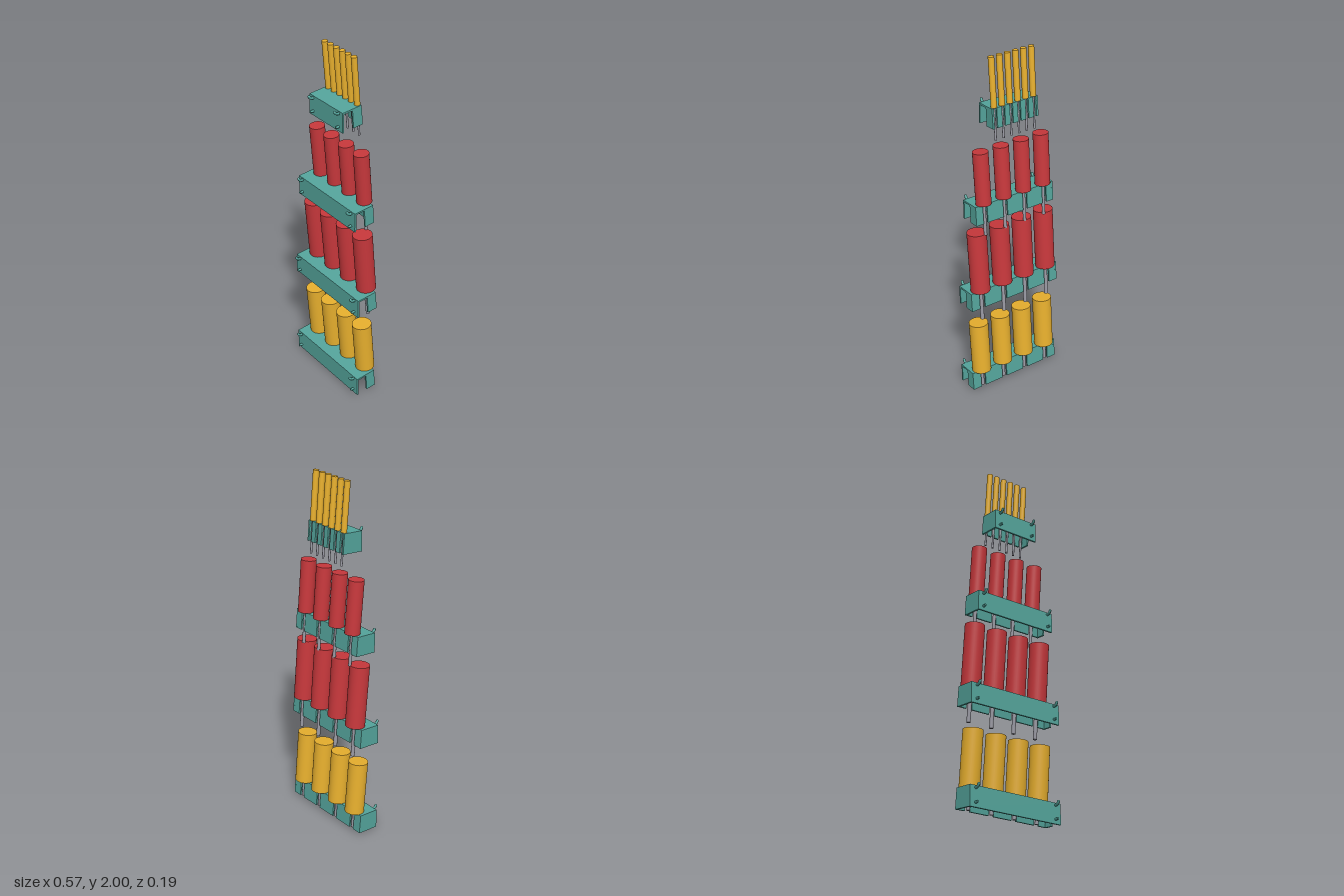
import * as THREE from 'three';

const mat = (color) => new THREE.MeshStandardMaterial({ color });
const teal = mat(0x55a69d), red = mat(0xc8383c), yellow = mat(0xe8b02e), steel = mat(0x9a9aa4);

const TILT = 0.087;     // lean of the tools
const WALL = 0.01;      // sheet thickness of the racks
const FRONT = 0.066, BACK = -0.053, PIVOT_Y = 0.118, TOOL_Z = -0.041;

function add(parent, name, geometry, material, x = 0, y = 0, z = 0) {
  const mesh = new THREE.Mesh(geometry, material);
  mesh.name = name;
  mesh.position.set(x, y, z);
  parent.add(mesh);
  return mesh;
}

// End panel drawn as (z, y) points, extruded along x
function endPanel(points) {
  const shape = new THREE.Shape(points.map(([z, y]) => new THREE.Vector2(z, y)));
  const g = new THREE.ExtrudeGeometry(shape, { depth: WALL, bevelEnabled: false });
  return g.rotateY(-Math.PI / 2).translate(WALL / 2, 0, 0);
}

// Top plate with slots open to the back edge
function topPlate(half, xs, slot) {
  const s = new THREE.Shape();
  s.moveTo(-half, FRONT);
  s.lineTo(-half, BACK);
  for (const x of xs) {
    s.lineTo(x - slot / 2, BACK);
    s.lineTo(x - slot / 2, TOOL_Z);
    s.absarc(x, TOOL_Z, slot / 2, Math.PI, 0, true);
    s.lineTo(x + slot / 2, BACK);
  }
  s.lineTo(half, BACK);
  s.lineTo(half, FRONT);
  const g = new THREE.ExtrudeGeometry(s, { depth: WALL, bevelEnabled: false, curveSegments: 8 });
  return g.rotateX(Math.PI / 2);
}

function makeRack({ name, y, half, count, spacing, radius, length, shaftRadius, shaftLength, color, pegX }) {
  const rack = new THREE.Group();
  rack.name = name;
  rack.position.y = y;
  const xs = Array.from({ length: count }, (_, i) => (i - (count - 1) / 2) * spacing);
  const slot = shaftRadius * 3;

  // Upright front wall and end panels; the left end is open toward the front
  add(rack, 'frontWall', new THREE.BoxGeometry(half * 2, 0.112, WALL), teal, 0, 0.056, FRONT - WALL / 2);
  add(rack, 'rightEnd', endPanel([[FRONT, 0], [FRONT, 0.112], [BACK, 0.122], [-0.0625, 0.0125]]), teal, -half + WALL / 2);
  add(rack, 'leftEnd', endPanel([[-0.004, 0.007], [0.004, 0.117], [BACK, 0.122], [-0.0625, 0.0125]]), teal, half - WALL / 2);

  // Leaning part: slotted top, split back wall and the tools
  const lean = new THREE.Group();
  lean.name = 'leaningPart';
  lean.position.y = PIVOT_Y;
  lean.rotation.x = TILT;
  rack.add(lean);
  add(lean, 'topPlate', topPlate(half, xs, slot), teal);
  const edges = [-half, ...xs.flatMap((x) => [x - slot / 2, x + slot / 2]), half];
  for (let i = 0; i < edges.length; i += 2) {
    const w = edges[i + 1] - edges[i];
    add(lean, 'backWall', new THREE.BoxGeometry(w, 0.11, WALL), teal,
      edges[i] + w / 2, -0.055, BACK + WALL / 2);
  }
  for (const x of xs) {
    const tool = new THREE.Group();
    tool.name = 'screwdriver';
    tool.position.set(x, 0, TOOL_Z);
    lean.add(tool);
    add(tool, 'handle', new THREE.CylinderGeometry(radius, radius, length, 32), color, 0, length / 2 + 0.001, 0);
    add(tool, 'shaft', new THREE.CylinderGeometry(shaftRadius, shaftRadius, shaftLength, 16), steel, 0, -shaftLength / 2, 0);
  }

  // Mounting pegs: bent hooks above, straight studs below
  for (const x of [-pegX, pegX]) {
    const path = new THREE.CatmullRomCurve3([
      new THREE.Vector3(x, 0.1, FRONT - 0.012), new THREE.Vector3(x, 0.1, FRONT + 0.008),
      new THREE.Vector3(x, 0.105, FRONT + 0.02), new THREE.Vector3(x, 0.114, FRONT + 0.026)]);
    add(rack, 'hook', new THREE.TubeGeometry(path, 10, 0.0075, 10), teal);
    add(rack, 'hookTip', new THREE.SphereGeometry(0.0075, 10, 8), teal, x, 0.114, FRONT + 0.026);
    const stud = new THREE.CylinderGeometry(0.006, 0.0075, 0.022, 10).rotateX(Math.PI / 2);
    add(rack, 'stud', stud, teal, x, 0.025, FRONT + 0.009);
  }
  return rack;
}

export function createModel() {
  const model = new THREE.Group();
  model.name = 'screwdriverRacks';
  const racks = [
    { name: 'bottomRack', y: 0, half: 0.284, count: 4, spacing: 0.144, radius: 0.054, length: 0.31,
      shaftRadius: 0.01, shaftLength: 0.105, color: yellow, pegX: 0.25 },
    { name: 'lowerMiddleRack', y: 0.545, half: 0.284, count: 4, spacing: 0.144, radius: 0.054, length: 0.355,
      shaftRadius: 0.011, shaftLength: 0.183, color: red, pegX: 0.25 },
    { name: 'upperMiddleRack', y: 1.08, half: 0.247, count: 4, spacing: 0.126, radius: 0.042, length: 0.296,
      shaftRadius: 0.009, shaftLength: 0.183, color: red, pegX: 0.215 },
    { name: 'topRack', y: 1.615, half: 0.14, count: 6, spacing: 0.048, radius: 0.016, length: 0.267,
      shaftRadius: 0.006, shaftLength: 0.178, color: yellow, pegX: 0.108 },
  ];
  for (const r of racks) model.add(makeRack(r));
  return model;
}
